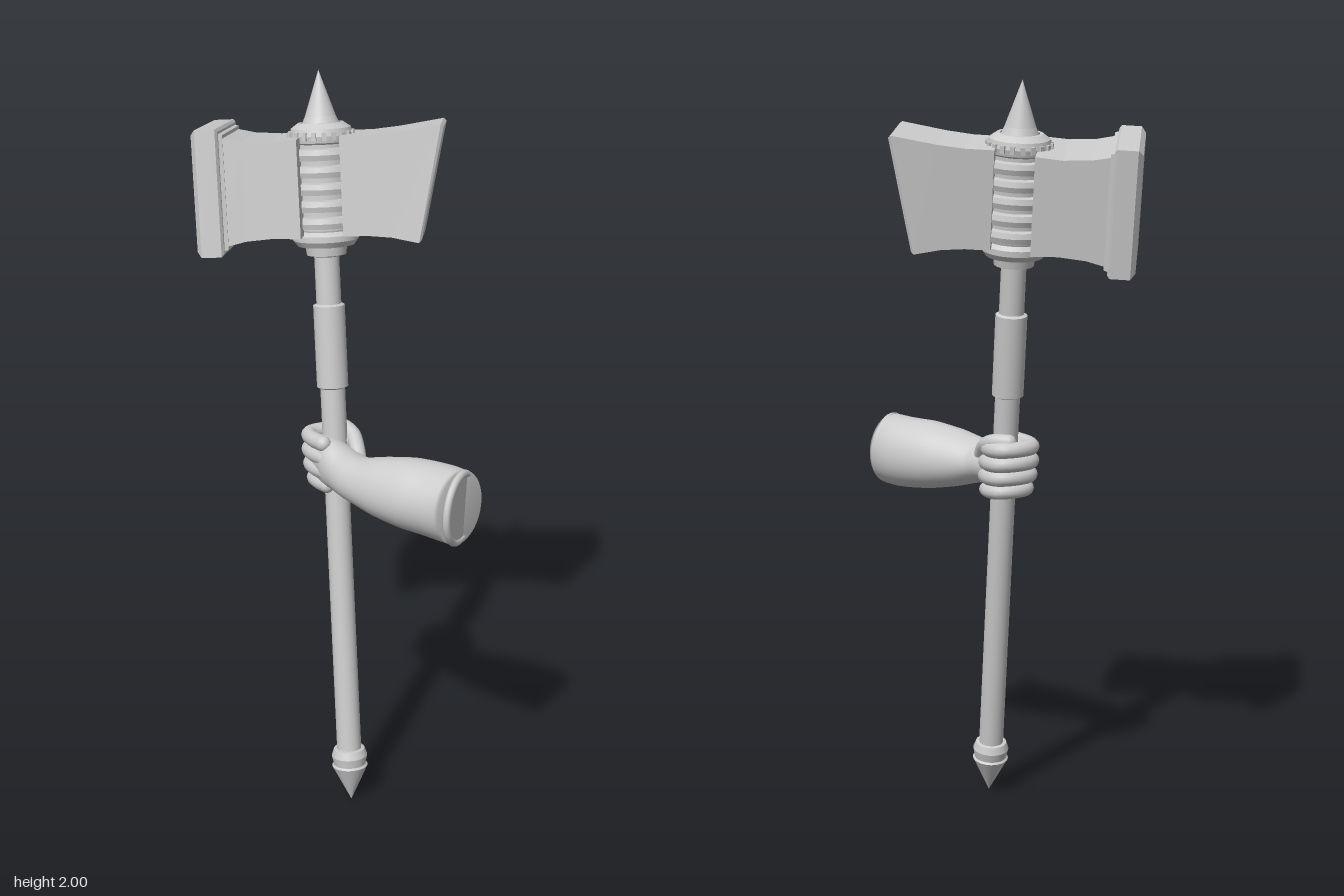
import * as THREE from 'three';

const smooth = new THREE.MeshStandardMaterial({ color: 0xcccccc });
const flat = new THREE.MeshStandardMaterial({ color: 0xcccccc, flatShading: true });
const v3 = (a) => new THREE.Vector3(...a);

function add(parent, name, geometry, material = smooth) {
  const mesh = new THREE.Mesh(geometry, material);
  mesh.name = name;
  parent.add(mesh);
  return mesh;
}

// Turned part with crisp edges: each profile span is its own short lathe
function turned(parent, name, profile, sides = 32) {
  const part = new THREE.Group();
  part.name = name;
  for (let i = 1; i < profile.length; i++) {
    const span = [profile[i - 1], profile[i]].map(([r, y]) => new THREE.Vector2(r, y));
    add(part, name + 'Section', new THREE.LatheGeometry(span, sides));
  }
  parent.add(part);
}

// Box lofted along x; each section is [xTop, xBottom, halfHeight, halfWidth], x rising
function block(parent, name, sections) {
  const n = sections.length - 1;
  const g = new THREE.BoxGeometry(1, 1, 1, n, 1, 1);
  const p = g.attributes.position;
  for (let i = 0; i < p.count; i++) {
    const [xt, xb, h, w] = sections[Math.round((p.getX(i) + 0.5) * n)];
    const up = p.getY(i) > 0;
    p.setXYZ(i, up ? xt : xb, up ? h : -h, Math.sign(p.getZ(i)) * w);
  }
  g.computeVertexNormals();
  return add(parent, name, g, flat);
}

// Closed tapering limb from sections [x, y, z, halfWidth, halfHeight]
function limb(sections, rings = 48, sides = 36) {
  const path = new THREE.CatmullRomCurve3(sections.map((s) => v3(s.slice(0, 3))));
  const size = new THREE.CatmullRomCurve3(sections.map((s) => new THREE.Vector3(s[3], s[4], 0)));
  const pos = [], idx = [];
  for (let i = 0; i <= rings; i++) {
    const t = i / rings, c = path.getPoint(t), s = size.getPoint(t), d = path.getTangent(t);
    const side = new THREE.Vector3(0, 1, 0).cross(d).normalize();
    const up = d.clone().cross(side);
    for (let j = 0; j < sides; j++) {
      const a = (j / sides) * Math.PI * 2;
      // Soft muscle ridges that fade out at both ends
      const k = 1 + 0.035 * Math.sin(Math.PI * t) * Math.cos(3 * a + 5 * t);
      const q = c.clone().addScaledVector(side, Math.cos(a) * s.x * k).addScaledVector(up, Math.sin(a) * s.y * k);
      pos.push(q.x, q.y, q.z);
      if (i < rings) {
        const a0 = i * sides + j, a1 = i * sides + (j + 1) % sides;
        idx.push(a0, a1, a0 + sides, a1, a1 + sides, a0 + sides);
      }
    }
  }
  const first = path.getPoint(0), last = path.getPoint(1), m = pos.length / 3;
  pos.push(first.x, first.y, first.z, last.x, last.y, last.z);
  for (let j = 0; j < sides; j++) {
    const k = (j + 1) % sides, e = rings * sides;
    idx.push(m, k, j, m + 1, e + j, e + k);
  }
  const g = new THREE.BufferGeometry();
  g.setAttribute('position', new THREE.Float32BufferAttribute(pos, 3));
  g.setIndex(idx);
  g.computeVertexNormals();
  return g;
}

// Rounded digit along a curve
function digit(parent, name, points, r) {
  const curve = new THREE.CatmullRomCurve3(points.map(v3));
  const part = new THREE.Group();
  part.name = name;
  add(part, name + 'Body', new THREE.TubeGeometry(curve, 28, r, 12));
  for (const t of [0, 1]) add(part, name + 'End', new THREE.SphereGeometry(r, 12, 10)).position.copy(curve.getPoint(t));
  parent.add(part);
}

export function createModel() {
  const model = new THREE.Group();
  model.name = 'hammerWithArm';

  // Hammer frame: local y runs along the leaning shaft
  const hammer = new THREE.Group();
  hammer.name = 'hammer';
  hammer.position.set(-0.025, 0, 0.15);
  const axis = new THREE.Vector3(0.045, 2, -0.325);
  hammer.quaternion.setFromUnitVectors(new THREE.Vector3(0, 1, 0), axis.clone().normalize());
  model.add(hammer);

  turned(hammer, 'pommel', [[0, 0], [0.05, 0.105], [0.045, 0.11], [0.05, 0.135], [0.043, 0.155], [0.033, 0.157]]);
  turned(hammer, 'shaft', [[0.034, 0.14], [0.033, 1.6]]);
  turned(hammer, 'grip', [[0.032, 1.19], [0.042, 1.195], [0.042, 1.415], [0.032, 1.42]]);
  turned(hammer, 'lowerCollar', [[0.033, 1.545], [0.052, 1.55], [0.055, 1.572], [0.075, 1.575],
    [0.086, 1.59], [0.086, 1.605], [0.07, 1.62]]);
  turned(hammer, 'hub', [[0.07, 1.6], [0.076, 1.62], [0.076, 1.85]]);
  turned(hammer, 'upperCollar', [[0.07, 1.835], [0.08, 1.845], [0.083, 1.862], [0.078, 1.88], [0.06, 1.893], [0.05, 1.893]]);
  turned(hammer, 'topSpike', [[0.051, 1.885], [0.04, 1.91], [0, 2.027]]);

  // Raised studs round the upper collar
  for (let i = 0; i < 20; i++) {
    const a = (i / 20) * Math.PI * 2;
    const stud = add(hammer, 'collarStud', new THREE.BoxGeometry(0.012, 0.02, 0.016), flat);
    stud.position.set(Math.sin(a) * 0.079, 1.862, Math.cos(a) * 0.079);
    stud.rotation.y = a;
  }
  // Stacked bands round the hub
  for (let i = 0; i < 5; i++) {
    const y = 1.64 + i * 0.044;
    turned(hammer, 'hubBand', [[0.075, y - 0.016], [0.096, y - 0.014], [0.1, y], [0.096, y + 0.014], [0.075, y + 0.016]], 24);
  }

  // Hammer head, turned about the shaft
  const head = new THREE.Group();
  head.name = 'head';
  head.position.y = 1.735;
  head.rotation.y = -0.5;
  hammer.add(head);
  block(head, 'slantedBlock', [[0.055, 0.055, 0.128, 0.095], [0.13, 0.12, 0.128, 0.097],
    [0.2, 0.18, 0.134, 0.099], [0.315, 0.25, 0.15, 0.102], [0.322, 0.257, 0.143, 0.096]]);
  block(head, 'strikingBlock', [[-0.24, -0.24, 0.138, 0.145], [-0.19, -0.19, 0.127, 0.142],
    [-0.12, -0.12, 0.122, 0.14], [-0.05, -0.05, 0.126, 0.138]]);
  block(head, 'plateStep', [[-0.25, -0.25, 0.15, 0.152], [-0.236, -0.236, 0.146, 0.148]]);
  block(head, 'strikingPlate', [[-0.316, -0.316, 0.148, 0.152], [-0.304, -0.304, 0.162, 0.168],
    [-0.252, -0.252, 0.162, 0.168], [-0.246, -0.246, 0.155, 0.16]]);

  // Forearm narrowing to the wrist, then flattening into the palm
  const arm = new THREE.Group();
  arm.name = 'arm';
  model.add(arm);
  add(arm, 'forearm', limb([
    [0.17, 0.97, 0.39, 0.086, 0.1], [0.145, 0.968, 0.33, 0.096, 0.099], [0.1, 0.968, 0.26, 0.095, 0.095],
    [0.05, 0.968, 0.185, 0.083, 0.08], [0.01, 0.97, 0.115, 0.07, 0.06], [-0.005, 0.975, 0.065, 0.066, 0.058],
    [-0.022, 0.982, 0.02, 0.055, 0.068], [-0.04, 0.982, -0.025, 0.034, 0.072], [-0.045, 0.982, -0.05, 0.018, 0.055]]));
  // Rim and cap at the cut end
  const end = new THREE.Group();
  end.name = 'armEnd';
  end.position.set(0.17, 0.97, 0.39);
  end.rotation.y = 0.69;
  arm.add(end);
  add(end, 'armEndRim', new THREE.TorusGeometry(0.085, 0.01, 10, 40)).scale.y = 1.07;
  const cap = add(end, 'armEndCap', new THREE.CircleGeometry(0.088, 40));
  cap.scale.y = 1.08;
  cap.position.z = 0.006;

  // Four fingers curl behind the shaft, tips on the left side
  for (let i = 0; i < 4; i++) {
    const y = 0.926 + i * 0.039, z = -0.004 - i * 0.006;
    const s = [0.92, 1, 1.02, 1][i];
    const curl = [[-0.052, 0.04], [-0.062, -0.01], [-0.054, -0.05], [-0.01, -0.064], [0.034, -0.052], [0.047, -0.015], [0.042, 0.022]];
    digit(arm, 'finger', curl.map(([x, dz], k) => [x * s, y - k * 0.002, z + dz * s]), 0.0215 * s);
  }
  digit(arm, 'thumb', [[0.03, 0.985, 0.075], [0.04, 1.02, 0.035], [0.046, 1.045, -0.01], [0.035, 1.055, -0.045], [0.01, 1.055, -0.068]], 0.021);

  return model;
}
